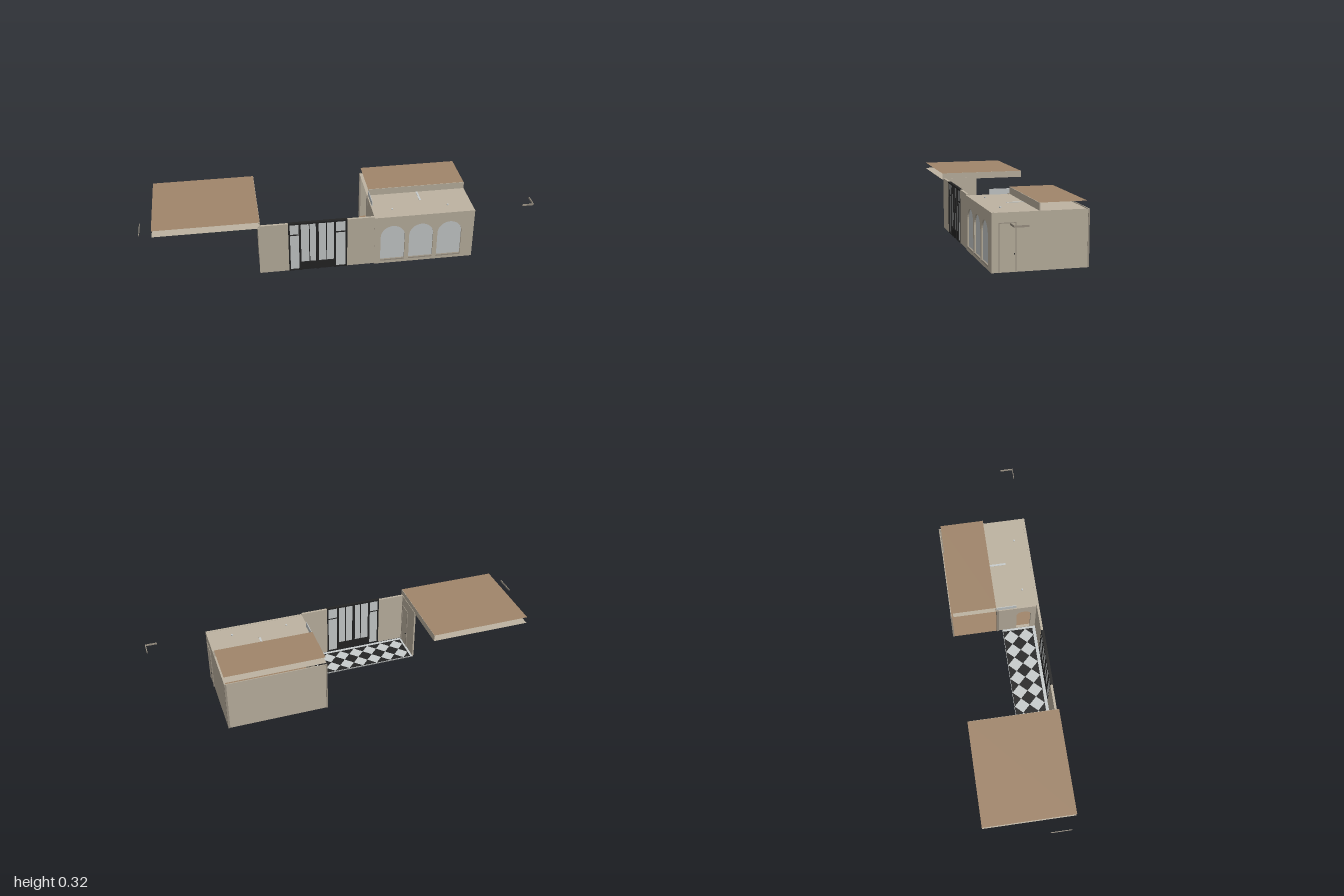
import * as THREE from 'three';

const mat = (name, color) => {
  const m = new THREE.MeshStandardMaterial({ color, side: THREE.DoubleSide });
  m.name = name;
  return m;
};

export function createModel() {
  const root = new THREE.Group();
  root.name = 'building';
  const plaster = mat('beige plaster', 0xbdb3a1);
  const brown = mat('brown boards', 0xa0856a);
  const glass = mat('pale glass', 0xc8cccc);
  const black = mat('black metal', 0x242424);
  const trim = mat('taupe trim', 0x9c9385);
  const slab = mat('grey slab', 0x8c8e8e);

  const add = (name, geo, m, parent = root) => {
    const mesh = new THREE.Mesh(geo, m);
    mesh.name = name;
    parent.add(mesh);
    return mesh;
  };
  // Box given by its minimum and maximum on each axis
  const box = (name, x0, x1, y0, y1, z0, z1, m, parent) => {
    const mesh = add(name, new THREE.BoxGeometry(x1 - x0, y1 - y0, z1 - z0), m, parent);
    mesh.position.set((x0 + x1) / 2, (y0 + y1) / 2, (z0 + z1) / 2);
    return mesh;
  };
  // Horizontal sheet
  const sheet = (name, x0, x1, y, z0, z1, m) => {
    const mesh = add(name, new THREE.PlaneGeometry(x1 - x0, z1 - z0).rotateX(-Math.PI / 2), m);
    mesh.position.set((x0 + x1) / 2, y, (z0 + z1) / 2);
  };
  const archPoints = (c, y0, spring, r) => {
    const pts = [new THREE.Vector2(c - r, y0), new THREE.Vector2(c + r, y0)];
    for (let i = 0; i <= 16; i++) {
      const a = (i / 16) * Math.PI;
      pts.push(new THREE.Vector2(c + r * Math.cos(a), spring + r * Math.sin(a)));
    }
    return pts;
  };
  const extrude = (shape, depth) =>
    new THREE.ExtrudeGeometry(shape, { depth, bevelEnabled: false });
  const rect = (x0, x1, y0, y1) => new THREE.Shape([
    new THREE.Vector2(x0, y0), new THREE.Vector2(x1, y0),
    new THREE.Vector2(x1, y1), new THREE.Vector2(x0, y1)]);

  // Arched front wall of the room
  const front = rect(0.167, 0.685, 0.004, 0.282);
  const arches = [0.262, 0.41, 0.558];
  arches.forEach(c => front.holes.push(new THREE.Path(archPoints(c, 0.022, 0.165, 0.063))));
  add('archedWall', extrude(front, 0.012), plaster).position.z = 0.217;
  arches.forEach(c => {
    const g = new THREE.Group();
    g.name = 'archedWindow';
    root.add(g);
    add('windowGlass', new THREE.ShapeGeometry(new THREE.Shape(archPoints(c, 0.022, 0.165, 0.063))), glass, g).position.z = 0.221;
    box('windowSill', c - 0.063, c + 0.063, 0.02, 0.027, 0.22, 0.23, trim, g);
    // Glazing bars on the inside
    for (let i = -2; i <= 2; i++) {
      const x = c + i * 0.024;
      box('upright', x - 0.0015, x + 0.0015, 0.024, 0.165 + Math.sqrt(0.004 - (x - c) ** 2) - 0.004, 0.216, 0.219, black, g);
    }
    for (let i = 1; i < 7; i++) {
      box('crossbar', c - 0.061, c + 0.061, i * 0.024 + 0.02, i * 0.024 + 0.023, 0.216, 0.219, black, g);
    }
  });

  // Room shell
  box('sideWall', 0.679, 0.685, 0.005, 0.281, -0.235, 0.229, plaster);
  box('backWall', 0.172, 0.679, 0.005, 0.281, -0.235, -0.231, plaster);
  box('backPostLeft', 0.676, 0.686, 0.005, 0.281, -0.237, -0.229, trim);
  box('backPostRight', 0.167, 0.175, 0.005, 0.281, -0.237, -0.229, trim);
  sheet('roomFloor', 0.167, 0.685, 0.005, -0.235, 0.229, brown);
  sheet('roomCeiling', 0.167, 0.685, 0.281, -0.222, 0.225, plaster);
  sheet('raisedRoof', 0.172, 0.683, 0.318, -0.225, 0.003, brown);
  box('roofUpstand', 0.172, 0.685, 0.281, 0.317, 0.001, 0.004, plaster);
  box('roofSidePanel', 0.172, 0.175, 0.281, 0.31, 0.005, 0.11, glass);
  box('ceilingBeam', 0.425, 0.435, 0.276, 0.283, 0.005, 0.09, glass);
  for (const x of [0.27, 0.56]) {
    const lamp = add('ceilingLamp', new THREE.CylinderGeometry(0.005, 0.005, 0.01, 12), glass);
    lamp.position.set(x, 0.281, 0.155);
  }

  // Doors on walls facing the left side
  const door = (x, z0, z1, top) => {
    const g = new THREE.Group();
    g.name = 'door';
    root.add(g);
    box('doorLeaf', x, x + 0.002, 0.006, top - 0.004, z0 + 0.004, z1 - 0.004, plaster, g);
    box('doorJamb', x, x + 0.004, 0.005, top, z0, z0 + 0.004, trim, g);
    box('doorJamb', x, x + 0.004, 0.005, top, z1 - 0.004, z1, trim, g);
    box('doorHead', x, x + 0.004, top - 0.004, top, z0, z1, trim, g);
    add('doorKnob', new THREE.SphereGeometry(0.0035, 12, 8), black, g).position.set(x + 0.006, 0.09, z0 + 0.009);
  };
  door(0.685, 0.114, 0.196, 0.235);
  door(-0.407, 0.128, 0.205, 0.235);

  // Partition with an arched passage
  const partition = rect(-0.215, -0.012, 0.005, 0.281);
  partition.holes.push(new THREE.Path(archPoints(-0.15, 0.01, 0.19, 0.038)));
  const p = add('partition', extrude(partition, 0.014), plaster);
  p.rotation.y = Math.PI / 2;
  p.position.x = 0.167;
  box('partitionPost', 0.163, 0.185, 0.005, 0.285, 0.005, 0.016, trim);

  // Shop front walls either side of the glazing
  box('frontWallRight', -0.42, -0.27, 0.008, 0.289, 0.216, 0.228, plaster);
  box('frontWallLeft', 0.027, 0.167, 0.008, 0.289, 0.216, 0.228, plaster);
  box('endWall', -0.415, -0.407, 0.005, 0.289, 0.04, 0.217, plaster);

  // Glazed shop front
  const shop = new THREE.Group();
  shop.name = 'shopFront';
  root.add(shop);
  box('shopGlass', -0.27, 0.027, 0.01, 0.286, 0.221, 0.224, glass, shop);
  const posts = [[-0.267, 0.008], [-0.213, 0.01], [-0.165, 0.004], [-0.125, 0.014], [-0.078, 0.004], [-0.035, 0.01], [0.023, 0.008]];
  posts.forEach(([x, w]) => box('post', x - w / 2, x + w / 2, 0.006, 0.286, 0.217, 0.23, black, shop));
  box('topRail', -0.271, 0.027, 0.283, 0.292, 0.217, 0.232, black, shop);
  box('kickPanel', -0.213, -0.035, 0.008, 0.054, 0.218, 0.229, black, shop);
  for (const [a, b] of [[-0.267, -0.213], [-0.035, 0.023]]) {
    box('transom', a, b, 0.217, 0.222, 0.219, 0.228, black, shop);
    box('bottomRail', a, b, 0.006, 0.013, 0.219, 0.228, black, shop);
  }

  // Chequered floor with diamonds trimmed to the edge
  const x0 = -0.395, x1 = 0.155, z0 = 0.038, z1 = 0.2;
  box('floorSlab', -0.41, 0.167, 0, 0.005, 0.036, 0.217, slab);
  sheet('paleFloor', -0.41, 0.167, 0.0055, 0.036, 0.217, glass);
  const dx = (x1 - x0) / 7, dz = (z1 - z0) / 2;
  const cx = v => Math.min(x1, Math.max(x0, v));
  const cz = v => Math.min(z1, Math.max(z0, v));
  const diamonds = [];
  for (let i = 0; i <= 7; i++) for (let j = 0; j <= 2; j++) {
    const x = x0 + i * dx, z = z0 + j * dz;
    diamonds.push(new THREE.Shape([[-1, 0], [0, -1], [1, 0], [0, 1]].map(([a, b]) =>
      new THREE.Vector2(cx(x + a * dx / 2), -cz(z + b * dz / 2)))));
  }
  const tiles = add('darkTiles', new THREE.ShapeGeometry(diamonds).rotateX(-Math.PI / 2), black);
  tiles.position.y = 0.0065;

  // Detached flat roof
  sheet('flatRoofTop', -0.935, -0.41, 0.318, -0.223, 0.236, brown);
  sheet('flatRoofCeiling', -0.935, -0.41, 0.283, -0.223, 0.236, plaster);
  box('flatRoofEnd', -0.411, -0.409, 0.283, 0.318, -0.223, 0.236, plaster);

  // Loose corner trims at both far ends
  box('cornerTrimFront', 0.94, 1, 0.273, 0.282, 0.209, 0.212, trim);
  box('cornerTrimSide', 0.996, 1, 0.273, 0.282, 0.145, 0.212, trim);
  box('endTrim', -1, -0.997, 0.273, 0.282, 0.1, 0.205, trim);
  return root;
}
